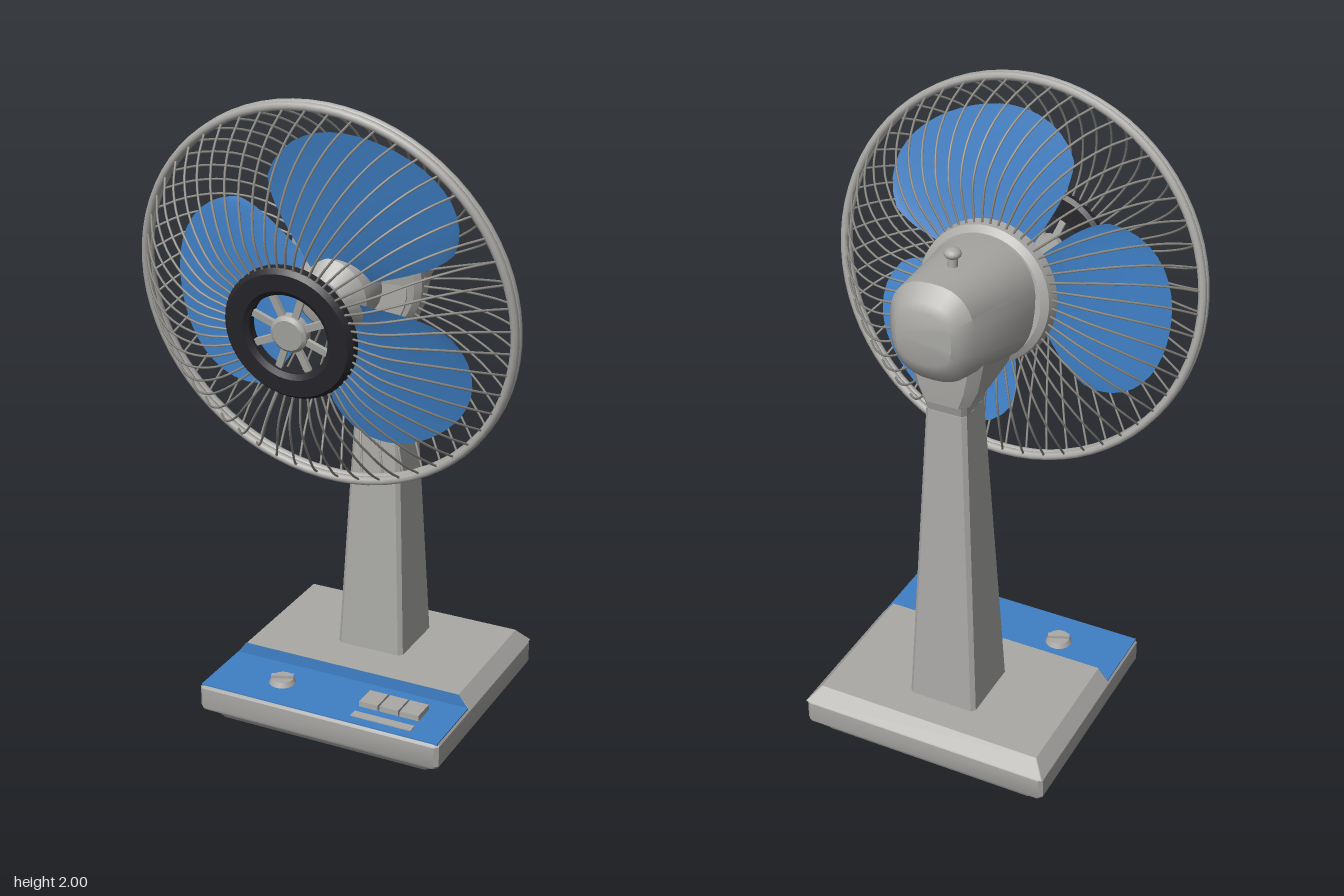
import * as THREE from 'three';
import { toCreasedNormals } from 'three/addons/utils/BufferGeometryUtils.js';

const mat = (name, color, side = THREE.FrontSide) => {
  const m = new THREE.MeshStandardMaterial({ color, side });
  m.name = name;
  return m;
};

// Closed skin over equal-length loops, capped at both ends
function loft(loops, crease = 0.5) {
  const pos = [], n = loops[0].length;
  const tri = (...p) => p.forEach(v => pos.push(v.x, v.y, v.z));
  for (let k = 0; k < loops.length - 1; k++) {
    for (let i = 0; i < n; i++) {
      const j = (i + 1) % n, a = loops[k], b = loops[k + 1];
      tri(a[i], a[j], b[j]);
      tri(a[i], b[j], b[i]);
    }
  }
  const first = loops[0], last = loops[loops.length - 1];
  for (let i = 1; i < n - 1; i++) {
    tri(first[0], first[i + 1], first[i]);
    tri(last[0], last[i], last[i + 1]);
  }
  const g = new THREE.BufferGeometry();
  g.setAttribute('position', new THREE.Float32BufferAttribute(pos, 3));
  return toCreasedNormals(g, crease);
}

// Horizontal rectangle with cut corners
const rect = (y, w, z0, z1, c = 0.012) => [
  [w, z1 - c], [w, z0 + c], [w - c, z0], [c - w, z0],
  [-w, z0 + c], [-w, z1 - c], [c - w, z1], [w - c, z1],
].map(([x, z]) => new THREE.Vector3(x, y, z));

// Upright rounded section of the motor housing
const oval = (z, w, y0, y1) => Array.from({ length: 32 }, (_, i) => {
  const a = i / 32 * Math.PI * 2, soft = v => Math.sign(v) * Math.abs(v) ** 0.8;
  return new THREE.Vector3(w * soft(Math.cos(a)), (y0 + y1) / 2 + (y1 - y0) / 2 * soft(Math.sin(a)), z);
});

export function createModel() {
  const grey = mat('bodyGrey', 0xaaa9a6);
  const wireGrey = mat('wireGrey', 0x8e8c86);
  const blue = mat('blue', 0x3f80c6, THREE.DoubleSide);
  const black = mat('black', 0x27272c);

  const model = new THREE.Group();
  model.name = 'deskFan';
  const add = (parent, name, geo, material, x = 0, y = 0, z = 0) => {
    const m = new THREE.Mesh(geo, material);
    m.name = name;
    m.position.set(x, y, z);
    parent.add(m);
    return m;
  };

  // Base
  add(model, 'foot', loft([rect(0, 0.355, -0.44, 0.21), rect(0.045, 0.382, -0.465, 0.245)]), grey);
  add(model, 'baseSlab', loft([rect(0.04, 0.4, -0.475, 0.255), rect(0.05, 0.405, -0.48, 0.26),
    rect(0.115, 0.405, -0.48, 0.26), rect(0.122, 0.4, -0.475, 0.252)]), grey);
  add(model, 'baseTop', loft([rect(0.12, 0.405, -0.48, 0.02, 0.002), rect(0.165, 0.368, -0.44, 0.02, 0.002)]), grey);

  // Control panel
  add(model, 'panel', new THREE.BoxGeometry(0.8, 0.006, 0.232), blue, 0, 0.123, 0.135);
  const step = new THREE.Shape([[-0.402, 0.122], [0.402, 0.122], [0.37, 0.165], [-0.37, 0.165]]
    .map(p => new THREE.Vector2(...p)));
  add(model, 'panelStep', new THREE.ShapeGeometry(step), blue, 0, 0, 0.0215);
  add(model, 'dial', new THREE.CylinderGeometry(0.035, 0.042, 0.016, 24), grey, -0.18, 0.134, 0.13);
  const grip = add(model, 'dialGrip', new THREE.BoxGeometry(0.07, 0.012, 0.016), grey, -0.18, 0.146, 0.13);
  grip.rotation.y = 0.4;
  for (let i = 0; i < 3; i++) {
    add(model, 'button', new THREE.BoxGeometry(0.062, 0.02, 0.075), grey, 0.13 + i * 0.068, 0.134, 0.12);
  }
  add(model, 'buttonStrip', new THREE.BoxGeometry(0.2, 0.004, 0.03), grey, 0.2, 0.127, 0.205);

  // Column and motor housing
  add(model, 'column', loft([rect(0.16, 0.112, -0.342, -0.115), rect(1.19, 0.064, -0.295, -0.165)]), grey);
  add(model, 'collar', loft([rect(1.18, 0.062, -0.29, -0.165), rect(1.23, 0.07, -0.305, -0.15)]), grey);
  add(model, 'neck', loft([rect(1.225, 0.075, -0.31, -0.13, 0.025), rect(1.28, 0.1, -0.315, -0.06, 0.03),
    rect(1.45, 0.135, -0.32, -0.04, 0.03)]), grey);
  add(model, 'motorHousing', loft([oval(-0.412, 0.085, 1.41, 1.57), oval(-0.4, 0.1, 1.38, 1.595),
    oval(-0.36, 0.13, 1.335, 1.635), oval(-0.06, 0.17, 1.265, 1.62), oval(0, 0.172, 1.27, 1.61)], 0.6), grey);
  add(model, 'swingKnobStem', new THREE.CylinderGeometry(0.014, 0.014, 0.04, 16), grey, 0, 1.645, -0.235);
  add(model, 'swingKnob', new THREE.SphereGeometry(0.025, 16, 10).scale(1, 0.65, 1), grey, 0, 1.667, -0.235);

  // Tilted head: local +z is the fan axis
  const head = new THREE.Group();
  head.name = 'head';
  head.position.set(0, 1.415, 0.175);
  head.rotation.x = 0.152;
  model.add(head);
  const turned = (pts, seg = 48) => toCreasedNormals(
    new THREE.LatheGeometry(pts.map(p => new THREE.Vector2(...p)), seg).rotateX(Math.PI / 2), 0.5);

  add(head, 'motorCollar', turned([[0, -0.245], [0.185, -0.245], [0.205, -0.23],
    [0.212, -0.19], [0.195, -0.175], [0, -0.175]]), grey);
  add(head, 'shaft', turned([[0.03, -0.19], [0.03, -0.1]], 16), grey);
  add(head, 'hub', turned([[0, -0.13], [0.115, -0.13], [0.115, -0.03], [0.1, -0.015], [0.07, 0.02], [0, 0.03]]), grey);

  // Blades, pitched and rounded at the outer corners
  const blade = new THREE.PlaneGeometry(2, 1, 20, 10);
  const p = blade.attributes.position;
  for (let i = 0; i < p.count; i++) {
    const t = p.getX(i), s = p.getY(i) + 0.5;
    const r = 0.09 + s * (0.505 * (1 - 0.23 * Math.abs(t) ** 3.2) - 0.09);
    const a = t * 0.87 * (1 - 0.1 * s ** 4);
    p.setXYZ(i, r * Math.cos(a), r * Math.sin(a), -0.045 + 0.05 * t * (0.6 + 0.4 * s));
  }
  blade.computeVertexNormals();
  for (let i = 0; i < 3; i++) {
    add(head, 'blade', blade, blue).rotation.z = (67 + 120 * i) * Math.PI / 180;
  }

  // Guard rims
  for (const z of [-0.011, 0.011]) {
    add(head, 'guardRim', new THREE.TorusGeometry(0.577, 0.013, 8, 72), grey, 0, 0, z);
  }

  // Guard wires: [radius, z] profile swept with a slight twist
  const wire = (profile, twist) => {
    const pts = profile.map(([r, z], i) => {
      const a = twist * i / (profile.length - 1);
      return new THREE.Vector3(r * Math.cos(a), r * Math.sin(a), z);
    });
    return new THREE.TubeGeometry(new THREE.CatmullRomCurve3(pts), 14, 0.0036, 5);
  };
  const front = wire([[0.575, 0.01], [0.51, 0.09], [0.415, 0.165], [0.28, 0.222], [0.18, 0.215]], 0.22);
  const back = wire([[0.575, -0.01], [0.52, -0.09], [0.44, -0.165], [0.33, -0.215], [0.2, -0.215]], -0.25);
  const count = 52;
  for (let i = 0; i < count; i++) {
    const a = i / count * Math.PI * 2;
    add(head, 'frontWire', front, wireGrey).rotation.z = a;
    add(head, 'rearWire', back, wireGrey).rotation.z = a;
  }

  // Front ring and spoked centre
  add(head, 'frontRing', turned([[0.12, 0.195], [0.185, 0.185], [0.198, 0.195], [0.198, 0.218],
    [0.185, 0.232], [0.135, 0.232], [0.12, 0.222], [0.12, 0.195]]), black);
  add(head, 'centreCap', turned([[0, 0.195], [0.055, 0.195], [0.055, 0.22], [0.045, 0.228], [0, 0.228]], 32), grey);
  for (let i = 0; i < 8; i++) {
    const spoke = new THREE.BoxGeometry(0.075, 0.02, 0.012).translate(0.088, 0, 0.208);
    add(head, 'centreSpoke', spoke, grey).rotation.z = (i + 0.5) * Math.PI / 4;
  }
  return model;
}
